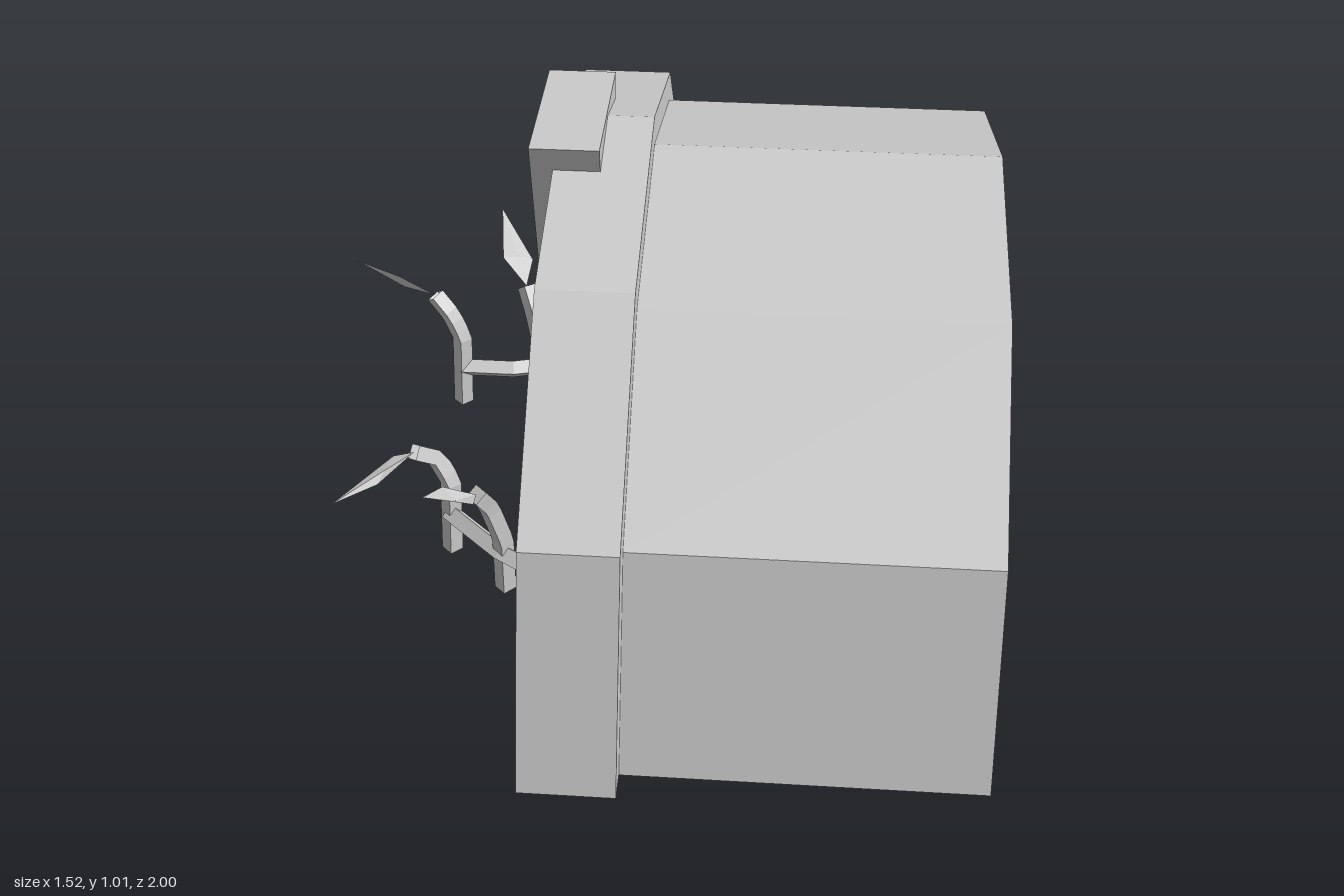
import * as THREE from 'three';

const material = new THREE.MeshStandardMaterial({
  color: 0xcccccc, flatShading: true, side: THREE.DoubleSide,
});
const V = (p) => new THREE.Vector3(...p);

function add(parent, name, geometry) {
  const mesh = new THREE.Mesh(geometry, material);
  mesh.name = name;
  parent.add(mesh);
}

// Six-sided half arch along x, from profile points [radius, x]
function arch(profile) {
  const points = profile.map(([r, x]) => new THREE.Vector2(r, x));
  return new THREE.LatheGeometry(points, 6, Math.PI, Math.PI).rotateZ(-Math.PI / 2);
}

// Tapered slab of the keystone between two heights, running along x
function wedge(x0, x1, y0, y1) {
  const half = (y) => 0.187 - (1.01 - y) * 0.31;
  const shape = new THREE.Shape([
    new THREE.Vector2(-half(y0), y0), new THREE.Vector2(half(y0), y0),
    new THREE.Vector2(half(y1), y1), new THREE.Vector2(-half(y1), y1),
  ]);
  return new THREE.ExtrudeGeometry(shape, { depth: x1 - x0, bevelEnabled: false })
    .rotateY(Math.PI / 2).translate(x0, 0, 0);
}

// Four-sided stalk through a few points
function stalk(points, radius) {
  const path = new THREE.CurvePath();
  for (let i = 1; i < points.length; i++) {
    path.add(new THREE.LineCurve3(V(points[i - 1]), V(points[i])));
  }
  return new THREE.TubeGeometry(path, points.length * 3, radius, 4);
}

// Pointed leaf: four-cornered outline with a slightly raised midrib
function leaf(base, tip, halfWidth) {
  const a = V(base), b = V(tip), w = V(halfWidth);
  const mid = a.clone().lerp(b, 0.35);
  const lift = b.clone().sub(a).cross(w).normalize().multiplyScalar(0.012);
  const rib = mid.clone().add(lift);
  const l = mid.clone().add(w), r = mid.clone().sub(w);
  const corners = [a, r, rib, a, rib, l, b, rib, r, b, l, rib];
  const geometry = new THREE.BufferGeometry().setFromPoints(corners);
  geometry.computeVertexNormals();
  return geometry;
}

// A creeping stem with shoots; each shoot is a stalk ending in a leaf
function vine(name, stem, shoots) {
  const group = new THREE.Group();
  group.name = name;
  add(group, 'stem', stalk(stem, 0.024));
  for (const { path, tip, width } of shoots) {
    add(group, 'shoot', stalk(path, 0.024));
    add(group, 'leaf', leaf(path[path.length - 1], tip, width));
  }
  return group;
}

// The two shoots nearest the arch are the same on both sides
function innerShoots(s) {
  return [
    { path: [[-0.16, 0, s * 0.5], [-0.16, 0.12, s * 0.5], [-0.17, 0.19, s * 0.5]],
      tip: [-0.175, 0.38, s * 0.51], width: [-0.025, 0, s * 0.03] },
    { path: [[-0.285, 0, s * 0.37], [-0.285, 0.14, s * 0.375], [-0.31, 0.25, s * 0.4], [-0.33, 0.3, s * 0.43]],
      tip: [-0.41, 0.42, s * 0.605], width: [-0.035, 0.01, s * -0.015] },
  ];
}

export function createModel() {
  const model = new THREE.Group();
  model.name = 'tunnel';

  // Hollow portal ring, open at its feet
  add(model, 'portalRing', arch([[0.685, -0.18], [1, -0.18], [1, 0.02], [0.685, 0.02], [0.685, -0.18]]));

  // Outer shell, inner lining and the wall that closes the lining
  add(model, 'outerShell', arch([[0.935, 0.02], [0.935, 0.76]]));
  add(model, 'innerLining', arch([[0.685, 0.56], [0.685, 0.02]]));
  add(model, 'endWall', new THREE.CircleGeometry(0.685, 6, 0, Math.PI)
    .rotateY(Math.PI / 2).translate(0.56, 0, 0));

  // Keystone: face plate with a lip over the top of the ring
  const keystone = new THREE.Group();
  keystone.name = 'keystone';
  add(keystone, 'facePlate', wedge(-0.227, -0.18, 0.62, 1.012));
  add(keystone, 'topLip', wedge(-0.18, -0.08, 0.955, 1.012));
  model.add(keystone);

  // Vines growing out of the ring at either side of the opening
  const root = (s) => [[-0.12, 0.1, s * 0.7], [-0.17, 0.1, s * 0.52], [-0.21, 0.1, s * 0.43], [-0.29, 0.1, s * 0.375]];
  model.add(vine('frontVine', [...root(1), [-0.425, 0.1, 0.24]], [
    ...innerShoots(1),
    { path: [[-0.425, 0, 0.24], [-0.42, 0.19, 0.24], [-0.45, 0.25, 0.235], [-0.495, 0.28, 0.26]],
      tip: [-0.66, 0.22, 0.385], width: [0.015, 0.022, -0.025] },
  ]));
  model.add(vine('backVine', [...root(-1), [-0.36, 0.1, -0.355], [-0.49, 0.1, -0.355]], [
    ...innerShoots(-1),
    { path: [[-0.49, 0, -0.355], [-0.485, 0.19, -0.355], [-0.51, 0.25, -0.36], [-0.55, 0.3, -0.37]],
      tip: [-0.76, 0.35, -0.44], width: [0.015, -0.03, -0.02] },
  ]));
  return model;
}
